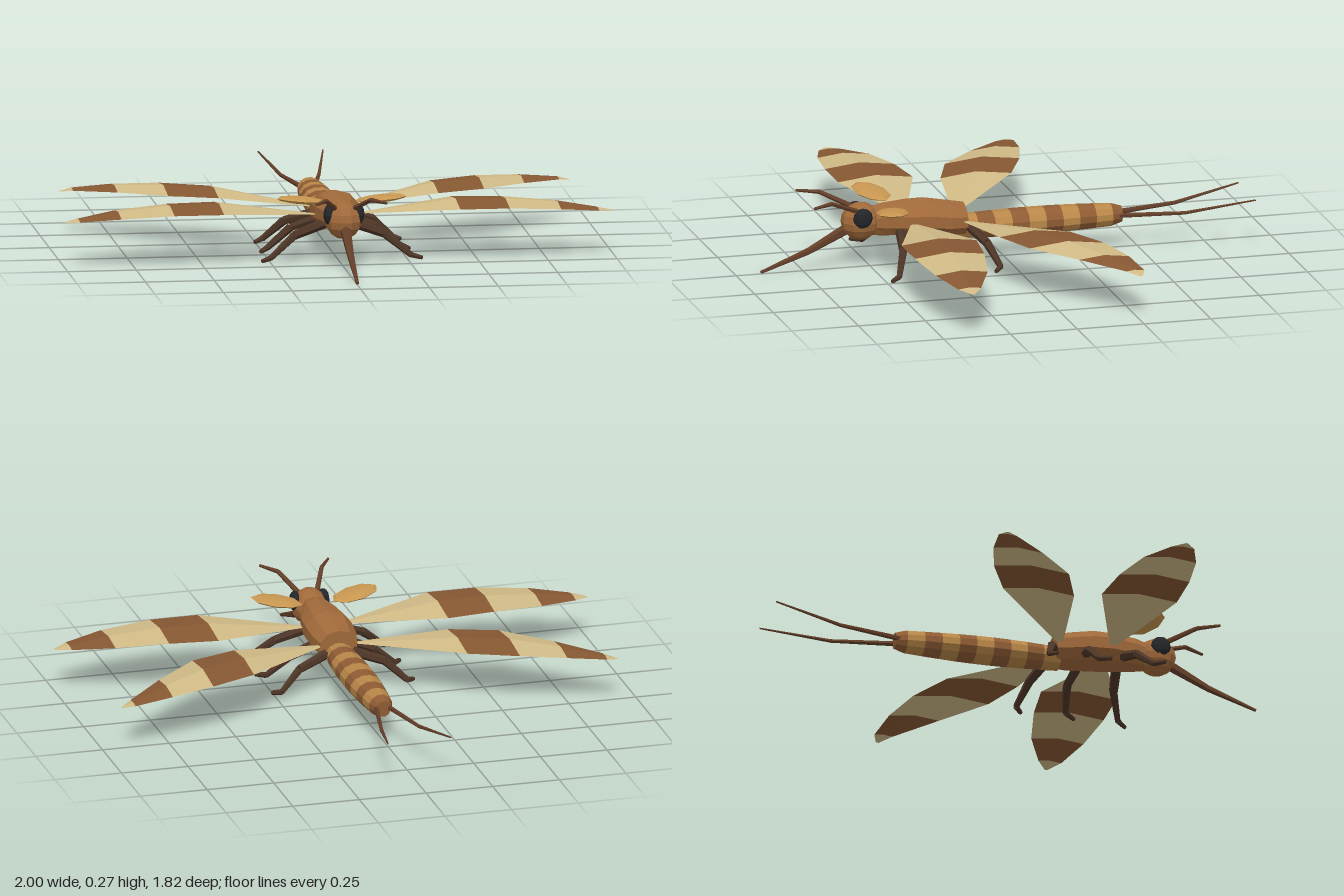
import * as THREE from 'three';

const mat = (color, side = THREE.FrontSide) =>
  new THREE.MeshStandardMaterial({ color, flatShading: true, side });

const MATS = {
  body: mat(0xa0693a), bandLight: mat(0xb98748), bandDark: mat(0x8f5c34),
  limb: mat(0x4d3527), feeler: mat(0x643f29), eye: mat(0x24262a), pad: mat(0xc79650),
  wingLight: mat(0xd0ba86, THREE.DoubleSide), wingDark: mat(0x875833, THREE.DoubleSide),
};

function add(parent, name, geometry, material) {
  const m = new THREE.Mesh(geometry, material);
  m.name = name;
  parent.add(m);
  return m;
}

// Skin over elliptical rings [z, centreY, radiusX, radiusY], listed front to back
function loft(rings, sides = 10, capFront = true, capBack = true) {
  const pos = [], idx = [];
  for (const [z, y, rx, ry] of rings)
    for (let i = 0; i < sides; i++) {
      const a = ((i + 0.5) / sides) * Math.PI * 2;
      pos.push(Math.cos(a) * rx, y + Math.sin(a) * ry, z);
    }
  for (let r = 0; r < rings.length - 1; r++)
    for (let i = 0; i < sides; i++) {
      const j = (i + 1) % sides, a = r * sides + i, b = r * sides + j;
      idx.push(a, a + sides, b, b, a + sides, b + sides);
    }
  const last = (rings.length - 1) * sides;
  for (let i = 1; i < sides - 1; i++) {
    if (capFront) idx.push(0, i, i + 1);
    if (capBack) idx.push(last, last + i + 1, last + i);
  }
  const g = new THREE.BufferGeometry();
  g.setAttribute('position', new THREE.Float32BufferAttribute(pos, 3));
  g.setIndex(idx);
  g.computeVertexNormals();
  return g;
}

// Jointed limb of tapered cylinders through points, with one radius per point
function limb(parent, name, points, radii, material, sides = 6) {
  const group = new THREE.Group();
  group.name = name;
  const p = points.map((q) => new THREE.Vector3(...q));
  for (let i = 0; i < p.length - 1; i++) {
    const dir = p[i + 1].clone().sub(p[i]);
    const seg = add(group, name + 'Segment' + (i + 1),
      new THREE.CylinderGeometry(radii[i + 1], radii[i], dir.length(), sides), material);
    seg.position.copy(p[i]).add(p[i + 1]).multiplyScalar(0.5);
    seg.quaternion.setFromUnitVectors(new THREE.Vector3(0, 1, 0), dir.normalize());
  }
  parent.add(group);
}

// Banded wing; each station is [x, frontZ, rearZ, edgeY] with a raised midrib
function wing(parent, name, stations, s) {
  const group = new THREE.Group();
  group.name = name;
  const row = ([x, f, r, y]) => {
    const lift = 0.1 * Math.abs(f - r) * 0.6;
    return [[s * x, y, f], [s * x, y + lift, (f + r) / 2], [s * x, y, r]];
  };
  for (let i = 0; i < stations.length - 1; i++) {
    const a = row(stations[i]), b = row(stations[i + 1]), pos = [];
    for (let k = 0; k < 2; k++) {
      const tris = [[a[k], b[k], a[k + 1]], [a[k + 1], b[k], b[k + 1]]];
      for (const t of tris) pos.push(...(s > 0 ? t : [t[0], t[2], t[1]]).flat());
    }
    const g = new THREE.BufferGeometry();
    g.setAttribute('position', new THREE.Float32BufferAttribute(pos, 3));
    g.computeVertexNormals();
    add(group, name + 'Band' + (i + 1), g, i % 2 ? MATS.wingDark : MATS.wingLight);
  }
  parent.add(group);
}

export function createModel() {
  const root = new THREE.Group();
  root.name = 'wingedInsect';

  // Thorax
  add(root, 'thorax', loft([
    [0.49, 0.175, 0.045, 0.055], [0.45, 0.178, 0.062, 0.062], [0.36, 0.178, 0.085, 0.067],
    [0.29, 0.175, 0.09, 0.071], [0.21, 0.165, 0.086, 0.066], [0.15, 0.16, 0.072, 0.06],
  ]), MATS.body);

  // Abdomen of alternating bands, ending in a tapered tip
  const bands = 9, zStart = 0.17, zEnd = -0.4;
  const ring = (t) => {
    const bulge = Math.sin(Math.PI * (0.15 + 0.75 * t));
    return [zStart + (zEnd - zStart) * t, 0.13, 0.035 + 0.029 * bulge, 0.038 + 0.012 * bulge];
  };
  for (let i = 0; i < bands; i++)
    add(root, 'abdomenBand' + (i + 1), loft([ring(i / bands), ring((i + 1) / bands)], 12, i === 0, false),
      i % 2 ? MATS.bandDark : MATS.bandLight);
  add(root, 'abdomenTip', loft([ring(1), [-0.44, 0.13, 0.028, 0.03]], 12, false), MATS.bandDark);

  // Head and proboscis
  const head = add(root, 'head', new THREE.SphereGeometry(1, 10, 8), MATS.body);
  head.scale.set(0.066, 0.069, 0.073);
  head.position.set(0, 0.178, 0.535);
  limb(root, 'proboscis', [[0, 0.155, 0.58], [0, 0.078, 0.73], [0, 0.012, 0.908]],
    [0.021, 0.013, 0.006], MATS.feeler);

  for (const s of [1, -1]) {
    const side = s > 0 ? 'left' : 'right';
    const mirror = (pts) => pts.map(([x, y, z]) => [s * x, y, z]);

    // Eyes
    const eye = add(root, side + 'Eye', new THREE.SphereGeometry(1, 8, 6), MATS.eye);
    eye.scale.set(0.022, 0.038, 0.037);
    eye.position.set(s * 0.053, 0.2, 0.54);

    // Antennae and tail filaments
    limb(root, side + 'Antenna', mirror([[0.035, 0.225, 0.56], [0.082, 0.273, 0.665], [0.128, 0.273, 0.742]]),
      [0.01, 0.008, 0.005], MATS.feeler);
    limb(root, side + 'TailFilament', mirror([[0.022, 0.13, -0.42], [0.07, 0.135, -0.66], [0.118, 0.177, -0.912]]),
      [0.01, 0.007, 0.003], MATS.feeler);

    // Shoulder pads
    const pad = add(root, side + 'ShoulderPad', new THREE.SphereGeometry(1, 8, 6), MATS.pad);
    pad.scale.set(0.095, 0.013, 0.06);
    pad.rotation.set(0, -s * 0.35, s * 0.12);
    pad.position.set(s * 0.147, 0.241, 0.455);

    // Wings
    wing(root, side + 'Forewing', [
      [0.07, 0.365, 0.345, 0.17], [0.43, 0.5, 0.22, 0.2], [0.61, 0.5, 0.24, 0.2],
      [0.8, 0.475, 0.28, 0.188], [0.945, 0.43, 0.345, 0.172], [1.0, 0.393, 0.383, 0.165],
    ], s);
    wing(root, side + 'Hindwing', [
      [0.07, 0.17, 0.145, 0.165], [0.4, 0.125, -0.14, 0.195], [0.575, 0.06, -0.22, 0.196],
      [0.74, -0.08, -0.265, 0.188], [0.885, -0.215, -0.283, 0.174], [0.93, -0.255, -0.265, 0.165],
    ], s);

    // Legs: hip, knee, ankle, toe
    const legs = {
      FrontLeg: [[0.05, 0.145, 0.4], [0.165, 0.105, 0.42], [0.255, 0.032, 0.46], [0.29, 0.027, 0.495]],
      MiddleLeg: [[0.05, 0.14, 0.26], [0.155, 0.105, 0.245], [0.24, 0.035, 0.26], [0.27, 0.027, 0.3]],
      HindLeg: [[0.05, 0.14, 0.14], [0.16, 0.105, 0.105], [0.235, 0.035, 0.075], [0.265, 0.027, 0.1]],
    };
    for (const [name, pts] of Object.entries(legs))
      limb(root, side + name, mirror(pts), [0.019, 0.016, 0.011, 0.008], MATS.limb);
  }
  return root;
}
